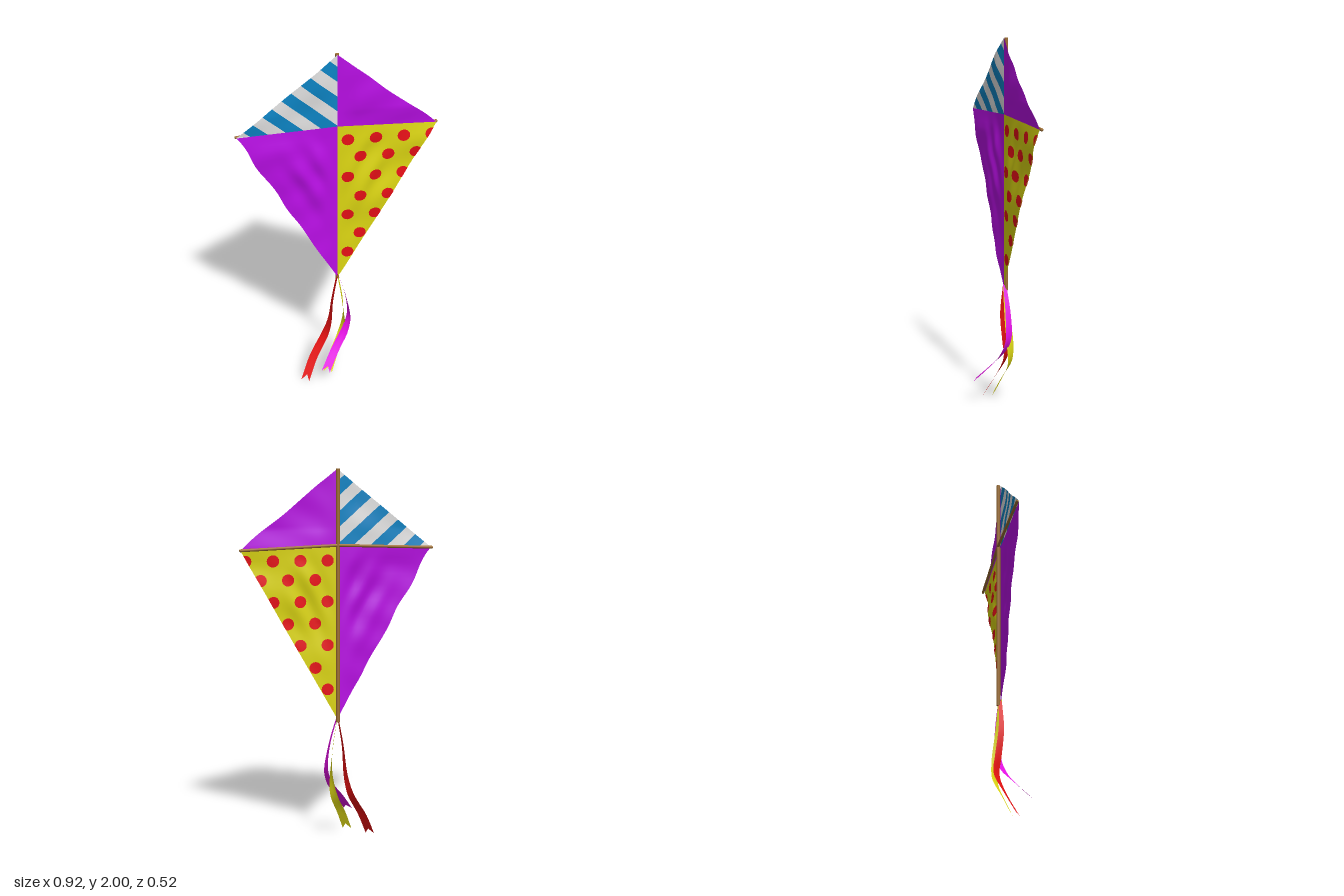
import * as THREE from 'three';
import { mergeVertices } from 'three/addons/utils/BufferGeometryUtils.js';

const mat = (name, color) => Object.assign(new THREE.MeshStandardMaterial({ color, side: THREE.DoubleSide }), { name });

// Sail corners in the kite's own plane (u across, v up)
const TOP = [0, 2], HUB = [0, 1.603], BOTTOM = [0, 0.67], LEFT = [0.515, 1.582], RIGHT = [-0.515, 1.585];

// Cloth surface: gentle billow, diagonal folds below the hub, wavy hems on the plain panels
function cloth(u, v, lift) {
  const a = Math.abs(u);
  const pinned = Math.min(1, a / 0.1) * Math.min(1, Math.abs(v - 1.59) / 0.1);
  const near = Math.exp(-(((a - 0.13) / 0.13) ** 2) - ((v - 1.32) / 0.2) ** 2);
  const fold = 0.008 * near * Math.sin(48 * (0.87 * a + 0.5 * (1.6 - v)));
  const billow = 0.007 + 0.005 * Math.sin(11 * v + 7 * u) + 0.002 * Math.sin(31 * v - 17 * u);
  const plain = (u < 0) === (v < 1.59);
  const hem = plain ? 1 + 0.018 * Math.sin((v - 1.59) * 24) * Math.min(1, a / 0.1) : 1;
  return [u * hem, v, 0.003 + pinned * (billow + fold) + lift];
}

// Keep the part of a convex polygon where f(point) >= 0
function clip(poly, f) {
  const out = [];
  poly.forEach((p, i) => {
    const q = poly[(i + 1) % poly.length], a = f(p), b = f(q);
    if (a >= 0) out.push(p);
    if (a * b < 0) out.push([0, 1].map(k => p[k] + (q[k] - p[k]) * a / (a - b)));
  });
  return out;
}

// Finely divided convex polygon laid on the cloth
function patch(poly, levels, lift = 0) {
  const pos = [];
  const mid = (p, q) => [(p[0] + q[0]) / 2, (p[1] + q[1]) / 2];
  const split = (a, b, c, n) => {
    if (n === 0) {
      for (const p of [a, b, c]) pos.push(...cloth(p[0], p[1], lift));
      return;
    }
    const ab = mid(a, b), bc = mid(b, c), ca = mid(c, a);
    split(a, ab, ca, n - 1);
    split(ab, b, bc, n - 1);
    split(ca, bc, c, n - 1);
    split(ab, bc, ca, n - 1);
  };
  for (let i = 1; i < poly.length - 1; i++) split(poly[0], poly[i], poly[i + 1], levels);
  let g = new THREE.BufferGeometry();
  g.setAttribute('position', new THREE.Float32BufferAttribute(pos, 3));
  g = mergeVertices(g, 1e-5);
  g.computeVertexNormals();
  return g;
}

// Twisting streamer with a swallowtail end
function streamer(points, startDir, endDir) {
  const curve = new THREE.CatmullRomCurve3(points.map(p => new THREE.Vector3(...p)));
  const from = new THREE.Vector3(...startDir), to = new THREE.Vector3(...endDir);
  const pos = [], index = [], rows = 48;
  for (let i = 0; i <= rows; i++) {
    const t = i / rows;
    const side = from.clone().lerp(to, THREE.MathUtils.smoothstep(t, 0.2, 0.9)).normalize();
    const half = 0.009 + 0.015 * Math.min(1, t * 1.6);
    const centre = curve.getPointAt(t);
    pos.push(...centre.clone().addScaledVector(side, -half).toArray());
    pos.push(...curve.getPointAt(t * 0.95).toArray());
    pos.push(...centre.clone().addScaledVector(side, half).toArray());
    if (i === rows) break;
    for (const k of [0, 1]) {
      const a = i * 3 + k;
      index.push(a, a + 3, a + 1, a + 1, a + 3, a + 4);
    }
  }
  const g = new THREE.BufferGeometry();
  g.setAttribute('position', new THREE.Float32BufferAttribute(pos, 3));
  g.setIndex(index);
  g.computeVertexNormals();
  return g;
}

export function createModel() {
  const model = new THREE.Group();
  model.name = 'kite';
  const frame = new THREE.Group();
  frame.name = 'kiteBody';
  frame.rotation.y = 0.507;
  model.add(frame);

  const purple = mat('purple cloth', 0xb80ee4), yellow = mat('yellow cloth', 0xdcd612);
  const red = mat('red dots', 0xf01018), blue = mat('blue stripe', 0x0c84c4), white = mat('white stripe', 0xe2e2e2);
  const wood = mat('wood', 0xa07034);
  const redRibbon = mat('red ribbon', 0xec1212), yellowRibbon = mat('yellow ribbon', 0xe8e218);
  const magenta = mat('magenta ribbon', 0xe810e8);

  const add = (parent, name, geometry, material) => {
    const m = new THREE.Mesh(geometry, material);
    m.name = name;
    parent.add(m);
  };

  // Plain sail panels
  add(frame, 'upperLeftPanel', patch([TOP, HUB, LEFT], 5), purple);
  add(frame, 'lowerRightPanel', patch([HUB, RIGHT, BOTTOM], 5), purple);
  add(frame, 'dottedPanel', patch([HUB, BOTTOM, LEFT], 5), yellow);

  // Striped panel, cut into diagonal bands
  const along = p => (p[0] + 0.515) * 0.875 + p[1] - 1.585;
  const period = 0.164, first = 0.063;
  for (let i = 0; i < 12; i++) {
    const start = first + (i - 1) * period / 2, end = start + period / 2;
    let band = clip([TOP, RIGHT, HUB], p => along(p) - start);
    band = clip(band, p => end - along(p));
    if (band.length > 2) add(frame, 'stripe', patch(band, 4), i % 2 ? blue : white);
  }

  // Dots in staggered rows on both faces, trimmed at the hem
  const hem = p => 0.515 * (p[1] - 0.67) / 0.912 - p[0];
  const rows = [[1.523, 4], [1.422, 3], [1.306, 3], [1.189, 2], [1.073, 2], [0.952, 1], [0.834, 1]];
  rows.forEach(([v, count], r) => {
    for (let c = 0; c < count; c++) {
      const u = (r % 2 ? 0.119 : 0.053) + c * 0.1455;
      const circle = Array.from({ length: 16 }, (_, i) => {
        const a = i / 16 * Math.PI * 2;
        return [u + 0.033 * Math.cos(a), v + 0.032 * Math.sin(a)];
      });
      const dot = clip(circle, hem);
      for (const lift of [0.0025, -0.0025]) add(frame, 'dot', patch(dot, 2, lift), red);
    }
  });

  // Spars behind the sail
  const spine = new THREE.CylinderGeometry(0.01, 0.01, 1.345, 10);
  spine.translate(0, 1.3275, -0.01);
  add(frame, 'spine', spine, wood);
  for (const tip of [LEFT, RIGHT]) {
    const path = new THREE.LineCurve3(new THREE.Vector3(0, HUB[1], -0.012), new THREE.Vector3(tip[0], tip[1], -0.006));
    add(frame, 'crossSpar', new THREE.TubeGeometry(path, 1, 0.008, 10), wood);
    const cap = new THREE.SphereGeometry(0.008, 10, 8);
    cap.translate(tip[0], tip[1], -0.006);
    add(frame, 'sparTip', cap, wood);
  }

  // Tail streamers
  add(model, 'redStreamer', streamer([
    [0, 0.69, 0], [-0.025, 0.52, 0.015], [-0.045, 0.36, 0.005],
    [-0.072, 0.26, 0.005], [-0.12, 0.13, 0.07], [-0.145, 0.005, 0.145],
  ], [0.6, 0, 0.8], [1, 0, 0]), redRibbon);
  add(model, 'yellowStreamer', streamer([
    [0, 0.69, 0], [0.022, 0.5, -0.02], [0.024, 0.35, -0.035],
    [0.01, 0.25, -0.03], [-0.015, 0.15, 0.02], [-0.033, 0.045, 0.075],
  ], [0.2, 0, 1], [1, 0, -0.1]), yellowRibbon);
  add(model, 'magentaStreamer', streamer([
    [0, 0.69, 0], [0.037, 0.54, -0.025], [0.055, 0.39, -0.03],
    [0.043, 0.31, 0.005], [0.015, 0.23, 0.075], [-0.01, 0.13, 0.175],
  ], [0.5, 0, 0.85], [1, 0, 0]), magenta);

  return model;
}
